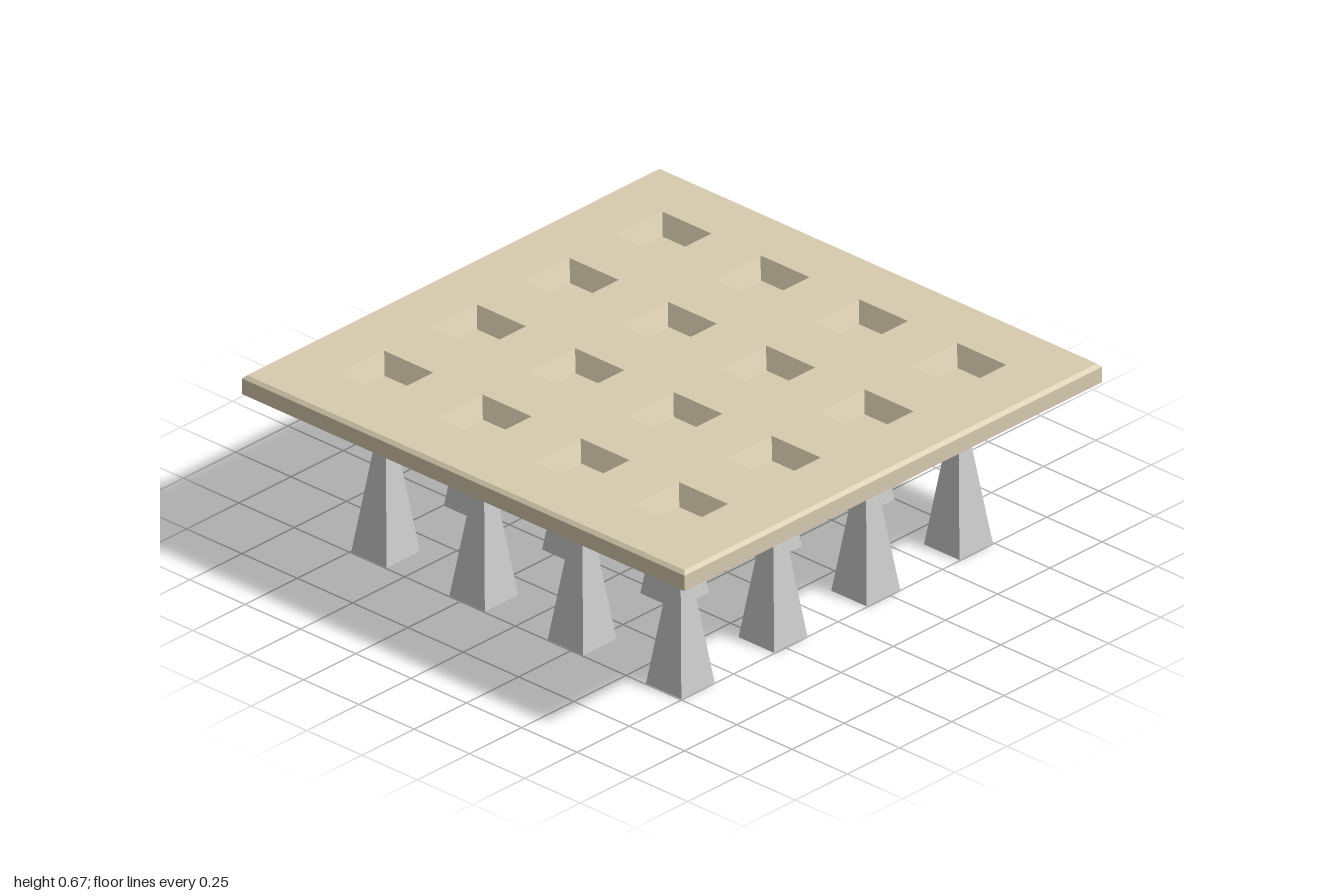
import * as THREE from 'three';

const TOP = 0.665, BOTTOM = 0.595, BEVEL = 0.012;
const SPACING = 0.444, PIT = 0.111, FLOOR = 0.08;

// Four-sided frustum wall with sides parallel to x and z, given half widths
function squareTube(topHalf, bottomHalf, yTop, yBottom, open = true) {
  const geometry = new THREE.CylinderGeometry(
    topHalf * Math.SQRT2, bottomHalf * Math.SQRT2, yTop - yBottom, 4, 1, open);
  geometry.rotateY(Math.PI / 4);
  geometry.translate(0, (yTop + yBottom) / 2, 0);
  return geometry;
}

function squarePath(PathClass, half, x = 0, y = 0) {
  return new PathClass([[-1, -1], [1, -1], [1, 1], [-1, 1]].map(
    ([a, b]) => new THREE.Vector2(x + a * half, y + b * half)));
}

export function createModel() {
  const group = new THREE.Group();
  const plateMaterial = new THREE.MeshStandardMaterial({
    color: 0xd8ccb0, flatShading: true, side: THREE.DoubleSide });
  const spikeMaterial = new THREE.MeshStandardMaterial({ color: 0xcccccc, flatShading: true });

  const add = (name, geometry, material, x = 0, z = 0) => {
    const mesh = new THREE.Mesh(geometry, material);
    mesh.name = name;
    mesh.position.set(x, 0, z);
    group.add(mesh);
  };

  const centres = [-1.5, -0.5, 0.5, 1.5].map(i => i * SPACING);

  // Thin top sheet with a square opening for every pit
  const sheet = squarePath(THREE.Shape, 1 - BEVEL);
  for (const x of centres)
    for (const z of centres) sheet.holes.push(squarePath(THREE.Path, PIT, x, z));
  add('plateTop', new THREE.ShapeGeometry(sheet).rotateX(-Math.PI / 2).translate(0, TOP, 0), plateMaterial);

  // Bevel and skirt around the hollow plate
  add('plateBevel', squareTube(1 - BEVEL, 1, TOP, TOP - BEVEL), plateMaterial);
  add('plateSkirt', squareTube(1, 1, TOP - BEVEL, BOTTOM), plateMaterial);

  // Tapered pits, each with a spike standing beneath it
  const pitWall = squareTube(PIT, FLOOR, TOP, BOTTOM);
  const pitFloor = new THREE.PlaneGeometry(2 * FLOOR, 2 * FLOOR)
    .rotateX(-Math.PI / 2).translate(0, BOTTOM, 0);
  const spike = squareTube(0, FLOOR, 0.592, 0, false);
  for (const x of centres) {
    for (const z of centres) {
      add('pitWall', pitWall, plateMaterial, x, z);
      add('pitFloor', pitFloor, plateMaterial, x, z);
      add('spike', spike, spikeMaterial, x, z);
    }
  }
  return group;
}
